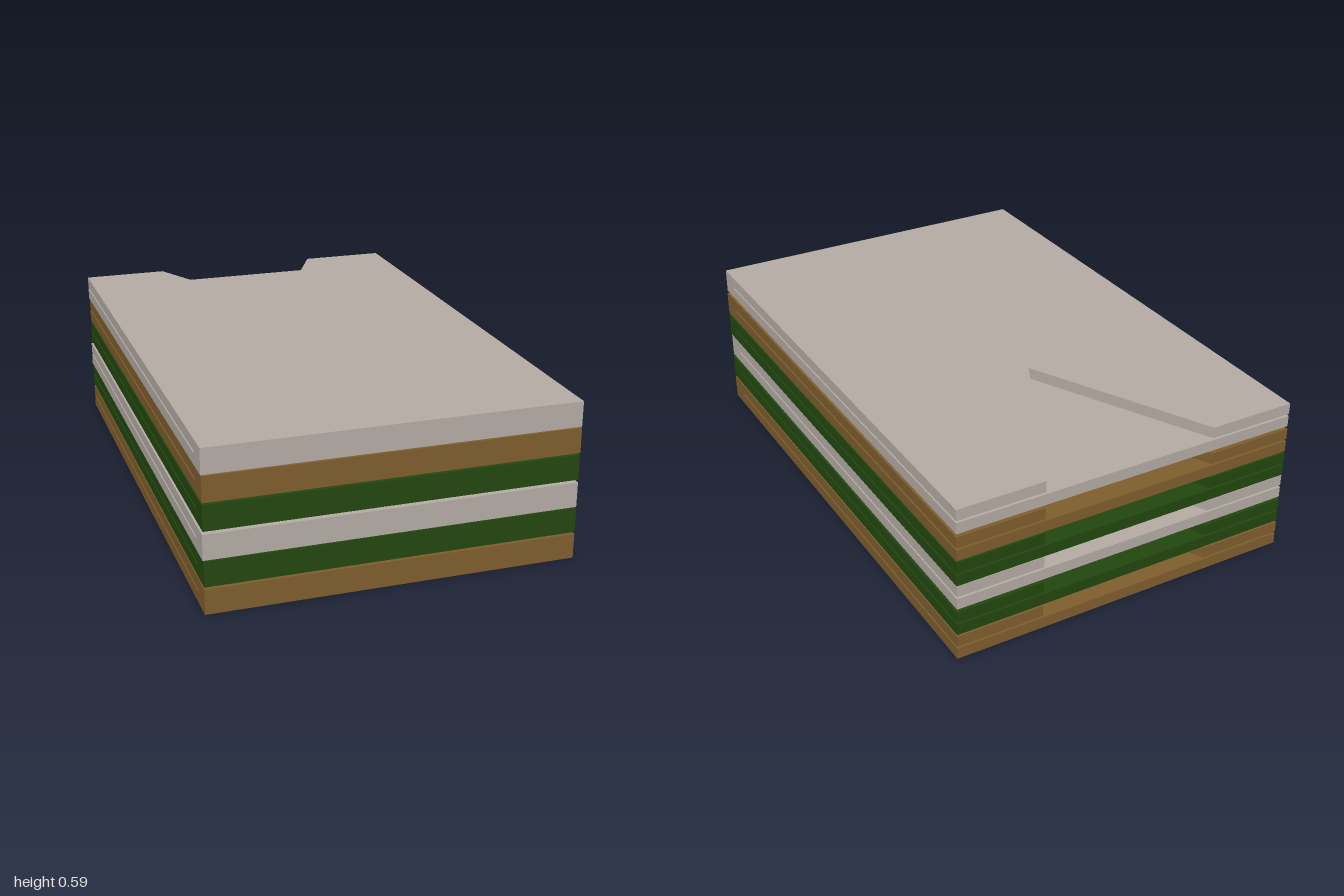
import * as THREE from 'three';

const W = 1.324, L = 1.994;            // outline of one folded sheet
const SHEET = 0.042, GAP = 0.008;      // leaf thickness and slit between leaves
const PITCH = 0.0993;                  // spacing of the stack
const FOLD = 0.083;                    // depth of the folded front edge

function material(name, color) {
  const m = new THREE.MeshStandardMaterial({ color });
  m.name = name;
  return m;
}

// Upper leaf: rectangle with a V notch cut into the back edge
function notchedLeaf() {
  const s = new THREE.Shape();
  const w = W / 2, l = L / 2;
  s.moveTo(-w, -l);
  s.lineTo(w, -l);
  s.lineTo(w, l);
  s.lineTo(0.333, l);
  s.lineTo(0, 0.33);
  s.lineTo(-0.333, l);
  s.lineTo(-w, l);
  s.closePath();
  const g = new THREE.ExtrudeGeometry(s, { depth: SHEET, bevelEnabled: false });
  g.rotateX(-Math.PI / 2);             // shape +y becomes the back, -z
  return g;
}

export function createModel() {
  const root = new THREE.Group();
  root.name = 'foldedStack';
  const brown = material('brown', 0x7d5d2d);
  const green = material('darkGreen', 0x22460f);
  const grey = material('warmGrey', 0xb3aaa3);

  const lowerGeo = new THREE.BoxGeometry(W, SHEET, L).translate(0, SHEET / 2, 0);
  const foldGeo = new THREE.BoxGeometry(W, GAP, FOLD)
    .translate(0, SHEET + GAP / 2, L / 2 - FOLD / 2);
  const upperGeo = notchedLeaf().translate(0, SHEET + GAP, 0);

  // Six folded pieces, bottom to top; the grey ones sit slightly offset
  [brown, green, grey, green, brown, grey].forEach((mat, i) => {
    const piece = new THREE.Group();
    piece.name = 'foldedPiece' + (i + 1);
    for (const [name, geo] of [['lowerLeaf', lowerGeo], ['frontFold', foldGeo], ['upperLeaf', upperGeo]]) {
      const mesh = new THREE.Mesh(geo, mat);
      mesh.name = name;
      piece.add(mesh);
    }
    const offset = mat === grey;
    piece.position.set(offset ? -0.004 : 0, i * PITCH, offset ? 0.003 : -0.003);
    root.add(piece);
  });
  return root;
}
